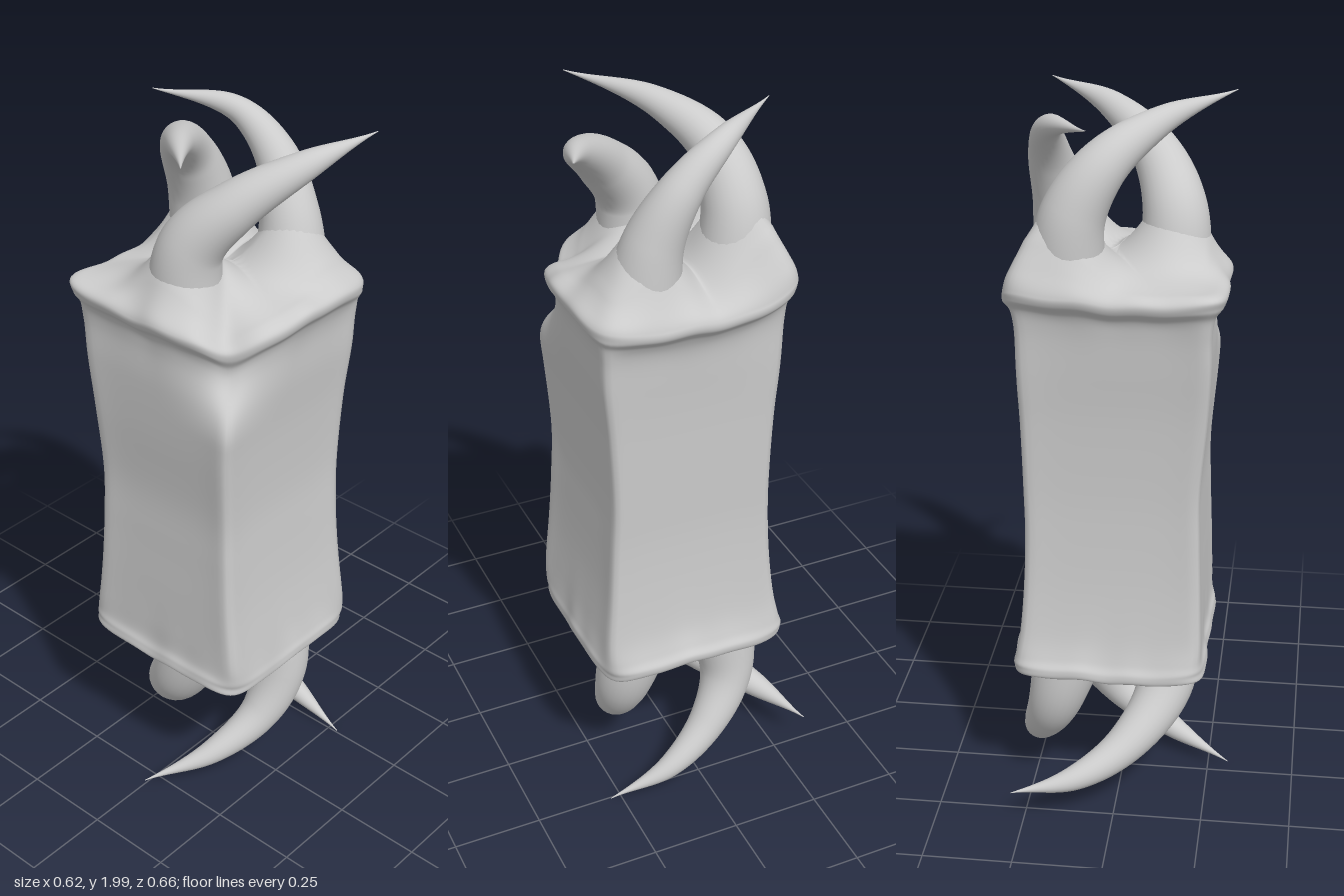
import * as THREE from 'three';

const material = new THREE.MeshStandardMaterial({ color: 0xcccccc });

// Smooth skin over rows of ring points; point(row, col) returns a Vector3
function loft(name, rows, cols, point) {
  const pos = [], index = [];
  for (let r = 0; r < rows; r++)
    for (let c = 0; c < cols; c++) pos.push(...point(r, c).toArray());
  for (let r = 0; r < rows - 1; r++)
    for (let c = 0; c < cols; c++) {
      const d = (c + 1) % cols;
      const a = r * cols + c, b = r * cols + d, e = a + cols, f = b + cols;
      index.push(a, b, e, b, f, e);
    }
  const g = new THREE.BufferGeometry();
  g.setAttribute('position', new THREE.Float32BufferAttribute(pos, 3));
  g.setIndex(index);
  g.computeVertexNormals();
  const mesh = new THREE.Mesh(g, material);
  mesh.name = name;
  return mesh;
}

// Curved tapering horn: path points and a radius at each
function horn(name, path, radii) {
  const curve = new THREE.CatmullRomCurve3(path.map(p => new THREE.Vector3(...p)));
  const steps = 48, sides = 28;
  const frames = curve.computeFrenetFrames(steps, false);
  const radiusCurve = new THREE.SplineCurve(radii.map((r, i) => new THREE.Vector2(i, r)));
  return loft(name, steps + 1, sides, (r, c) => {
    const t = r / steps, a = (c / sides) * Math.PI * 2;
    const radius = Math.max(0.0005, radiusCurve.getPoint(t).y);
    return curve.getPoint(t)
      .addScaledVector(frames.normals[r], Math.cos(a) * radius)
      .addScaledVector(frames.binormals[r], Math.sin(a) * radius);
  });
}

// Square pouch: y, xMin, xMax, zMin, zMax, scale, rim waviness
const bodyRows = [
  [0.46, -0.24, 0.27, -0.25, 0.28, 0.001, 1],
  [0.455, -0.24, 0.27, -0.25, 0.28, 0.5, 1],
  [0.445, -0.24, 0.27, -0.25, 0.28, 0.9, 1],
  [0.445, -0.25, 0.285, -0.26, 0.29, 1, 1],
  [0.47, -0.25, 0.295, -0.265, 0.295, 1, 1],
  [0.50, -0.24, 0.28, -0.25, 0.288, 1, 0.7],
  [0.57, -0.237, 0.262, -0.233, 0.277, 1, 0.2],
  [0.70, -0.233, 0.25, -0.218, 0.262, 1, 0],
  [0.85, -0.228, 0.244, -0.21, 0.252, 1, 0],
  [1.00, -0.226, 0.246, -0.208, 0.247, 1, 0],
  [1.20, -0.242, 0.25, -0.215, 0.257, 1, 0],
  [1.35, -0.25, 0.257, -0.228, 0.272, 1, 0],
  [1.45, -0.25, 0.264, -0.238, 0.278, 1, 0.2],
  [1.50, -0.26, 0.28, -0.25, 0.29, 1, 0.7],
  [1.53, -0.285, 0.305, -0.275, 0.31, 1, 1],
  [1.555, -0.29, 0.305, -0.28, 0.31, 1, 1],
  [1.57, -0.285, 0.3, -0.275, 0.3, 0.95, 0.9],
  [1.575, -0.28, 0.295, -0.275, 0.3, 0.82, 0.8],
  [1.585, -0.28, 0.295, -0.275, 0.3, 0.5, 0.8],
  [1.59, -0.28, 0.295, -0.275, 0.3, 0.001, 0.8],
];

// Soft mounds where the horns grow out of the pouch: x, z
const upperRoots = [[0.13, -0.135], [-0.13, 0.025], [0.16, 0.125]];
const lowerRoots = [[0.11, 0.13], [-0.12, 0.05], [0.15, -0.1]];
const mound = (roots, x, z, width) => Math.max(...roots.map(([rx, rz]) =>
  Math.exp(-((x - rx) ** 2 + (z - rz) ** 2) / width ** 2)));

function body() {
  const cols = 160, fine = 8;
  const rowCurves = [0, 1, 2, 3, 4, 5, 6].map(k =>
    new THREE.SplineCurve(bodyRows.map((row, i) => new THREE.Vector2(i, row[k]))));
  const rows = (bodyRows.length - 1) * fine + 1;
  return loft('body', rows, cols, (r, c) => {
    const [y, x0, x1, z0, z1, scale, wave] = rowCurves.map(k => k.getPoint(r / (rows - 1)).y);
    const a = -(c / cols) * Math.PI * 2;
    // square ring, crisp along the walls and rounder at the rims
    const p = Math.max(6, 22 - 15 * wave);
    const reach = (Math.abs(Math.cos(a)) ** p + Math.abs(Math.sin(a)) ** p) ** (-1 / p);
    const u = Math.cos(a) * reach, v = Math.sin(a) * reach;
    const corner = (sx, sz) => Math.max(0, u * sx) ** 2 * Math.max(0, v * sz) ** 2;
    const ridge = 0.985 + 0.035 * Math.abs(u * v) ** 6;
    const top = THREE.MathUtils.smoothstep(y, 1.25, 1.55);
    const row = r / fine;
    const cap = THREE.MathUtils.clamp((row - 15) / 2, 0, 1);
    const base = THREE.MathUtils.clamp((2.5 - row) / 1.5, 0, 1);
    // front right corner slopes away, the back left one rises
    const droop = corner(-1, 1) * top, rise = corner(1, -1) * top;
    const inset = 1 - 0.36 * droop - 0.04 * rise;
    const s = Math.max(scale, 0.001) * ridge * inset;
    const rim = THREE.MathUtils.clamp(wave, 0, 1) * Math.min(1, scale) ** 4;
    const ripple = rim * (0.006 * Math.sin(a * 5 + 1) + 0.003 * Math.sin(a * 13));
    const sideDip = 0.03 * top * Math.max(0, u) ** 8 * (1 - v * v);
    const x = (x0 + x1) / 2 + u * s * (x1 - x0) / 2 + ripple * u * 0.6;
    const z = (z0 + z1) / 2 + v * s * (z1 - z0) / 2 + ripple * v * 0.6;
    const lift = Math.min(1, scale) * (rise * (0.02 + 0.08 * cap) - 0.08 * droop - sideDip);
    const swell = 0.17 * cap * mound(upperRoots, x, z, 0.105) - 0.05 * base * mound(lowerRoots, x, z, 0.09);
    return new THREE.Vector3(x, y + ripple + lift + swell, z);
  });
}

export function createModel() {
  const group = new THREE.Group();
  group.name = 'hornedPouch';
  group.add(body());

  // Three upper horns, twisting around one another
  const upperRadii = [0.1, 0.085, 0.065, 0.037, 0.001];
  group.add(
    horn('upperBackHorn', [[0.13, 1.55, -0.13], [0.11, 1.74, -0.145], [0.03, 1.87, -0.12],
      [-0.1, 1.955, -0.02], [-0.28, 1.998, 0.15]], upperRadii),
    horn('upperRightHorn', [[-0.13, 1.53, 0.02], [-0.13, 1.71, 0.045], [-0.07, 1.83, 0.14],
      [0.06, 1.925, 0.25], [0.23, 1.98, 0.33]], upperRadii),
    horn('upperFrontHorn', [[0.155, 1.54, 0.13], [0.175, 1.71, 0.105], [0.195, 1.85, 0.035],
      [0.175, 1.945, -0.08], [0.06, 1.985, -0.26]], [0.1, 0.078, 0.055, 0.033, 0.001]));

  // Three lower horns
  const lowerRadii = [0.105, 0.082, 0.058, 0.035, 0.001];
  group.add(
    horn('lowerFrontHorn', [[0.11, 0.5, 0.12], [0.1, 0.3, 0.17], [0.02, 0.17, 0.165],
      [-0.13, 0.08, 0.11], [-0.31, 0.03, 0.01]], lowerRadii),
    horn('lowerRightHorn', [[-0.11, 0.5, 0.07], [-0.125, 0.31, -0.02], [-0.03, 0.185, -0.15],
      [0.11, 0.125, -0.26], [0.28, 0.11, -0.33]], lowerRadii),
    horn('lowerBackHorn', [[0.13, 0.5, -0.1], [0.18, 0.3, -0.12], [0.23, 0.17, -0.04],
      [0.265, 0.07, 0.1], [0.255, 0.005, 0.28]], [0.105, 0.077, 0.055, 0.033, 0.001]));
  return group;
}
